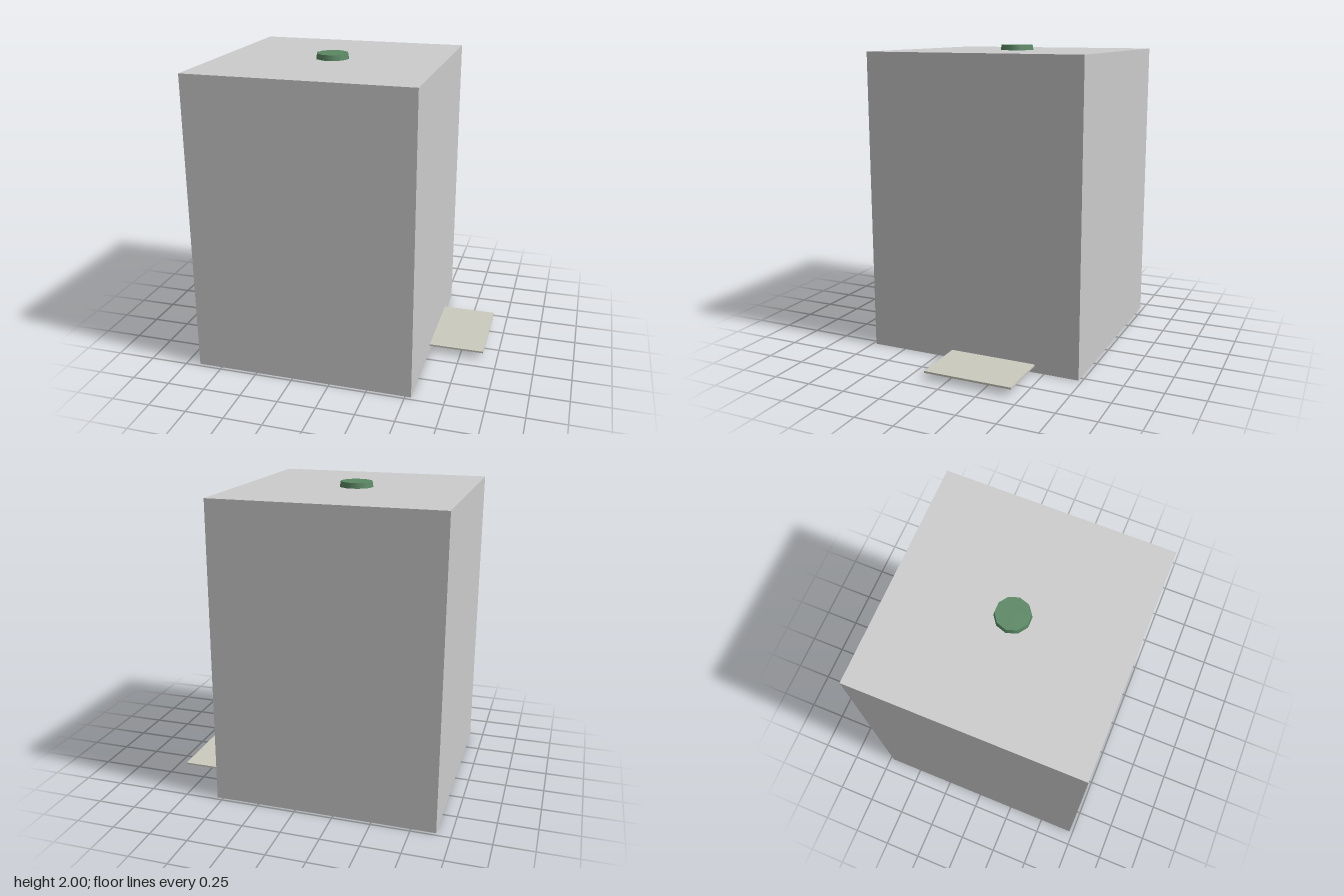
import * as THREE from 'three';

const BODY = { x: -0.184, width: 1.447, height: 1.965, depth: 1.454 };

function addPart(group, name, geometry, color, x, y, z) {
  const mesh = new THREE.Mesh(geometry, new THREE.MeshStandardMaterial({ color }));
  mesh.name = name;
  mesh.position.set(x, y, z);
  group.add(mesh);
  return mesh;
}

export function createModel() {
  const model = new THREE.Group();
  model.name = 'boxWithKnobAndTray';

  // Tall plain body
  addPart(model, 'body', new THREE.BoxGeometry(BODY.width, BODY.height, BODY.depth),
    0xcccccc, BODY.x, BODY.height / 2, 0);

  // Ten-sided, slightly tapered knob with corners on the x axis
  const knobHeight = 2 - BODY.height;
  const knob = addPart(model, 'topKnob', new THREE.CylinderGeometry(0.105, 0.111, knobHeight, 10),
    0x5a8763, BODY.x, BODY.height + knobHeight / 2, 0);
  knob.rotation.y = Math.PI / 2;

  // Thin tray sticking out near the foot of the left side
  const trayStart = BODY.x + BODY.width / 2, trayEnd = 0.907;
  addPart(model, 'sideTray', new THREE.BoxGeometry(trayEnd - trayStart, 0.012, 0.58),
    0xcccabf, (trayStart + trayEnd) / 2, 0.048, -0.147);

  return model;
}
